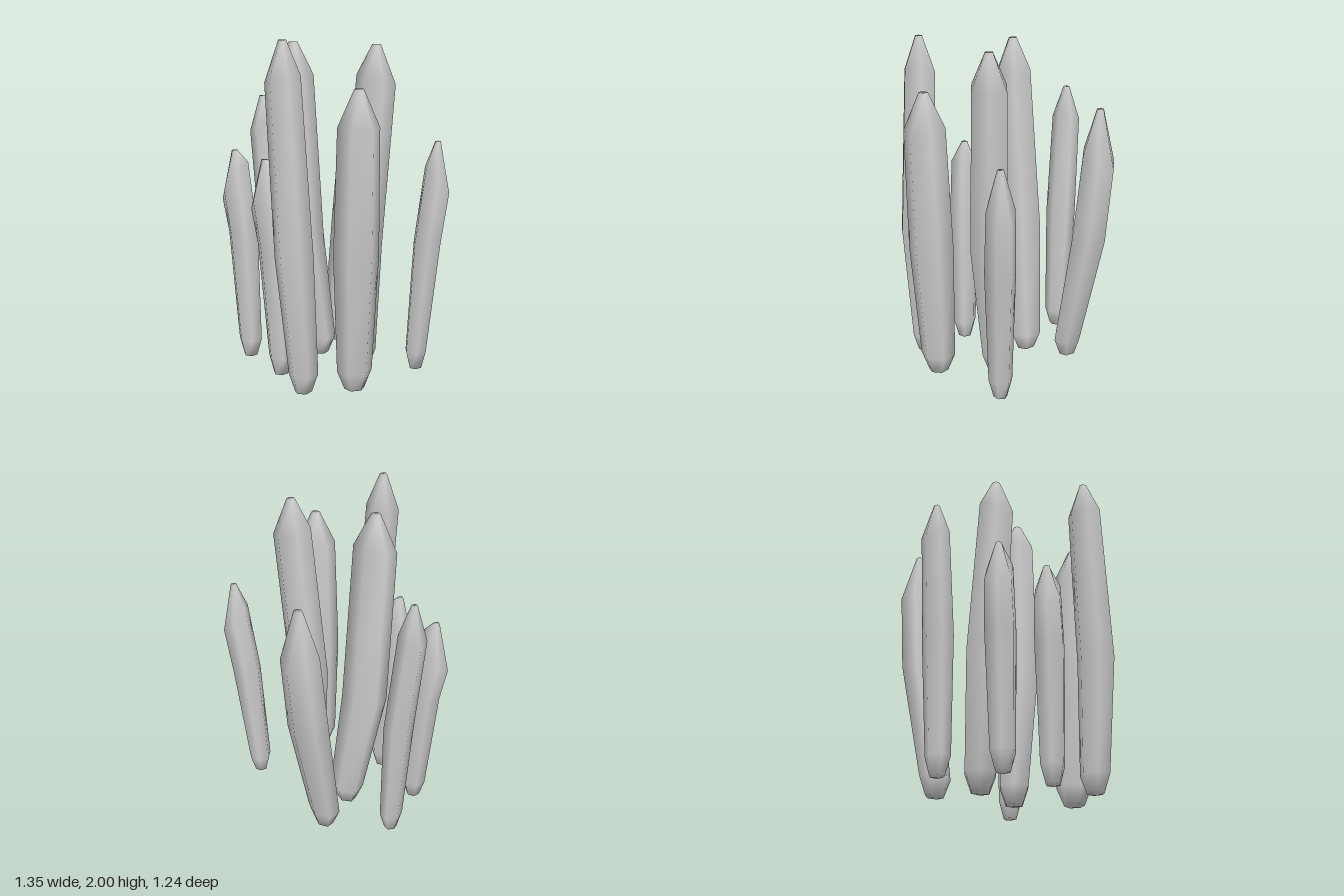
import * as THREE from 'three';

const SIDES = 6;
const LOW_Y = 0.11;
const MID_Y = 0.8;

// Hexagon scaled to span about -1..1 in both directions
function unitHexagon(turn) {
  const pts = Array.from({ length: SIDES }, (_, j) => {
    const a = turn + (j / SIDES) * Math.PI * 2;
    return [Math.cos(a), Math.sin(a)];
  });
  const mx = Math.max(...pts.map((p) => Math.abs(p[0])));
  const mz = Math.max(...pts.map((p) => Math.abs(p[1])));
  return pts.map(([x, z]) => [x / mx, z / mz]);
}

// One crystal: small foot, low ring, middle, sloping shoulder and blunt tip.
// low and mid are [x, z], shoulder is [x, y, z], size is the half width in x and z.
function crystal(name, low, mid, shoulder, tipY, size, turn) {
  const [sx, sy, sz] = shoulder;
  const rise = sy - MID_Y;
  // The shoulder slopes down towards the side the crystal leans to
  const tiltX = (-3 * (sx - mid[0])) / rise ** 2;
  const tiltZ = (-3 * (sz - mid[1])) / rise ** 2;
  const rings = [
    { x: low[0], y: 0, z: low[1], scale: 0.45 },
    { x: low[0], y: LOW_Y, z: low[1], scale: 0.78 },
    { x: mid[0], y: MID_Y, z: mid[1], scale: 1 },
    { x: sx, y: sy, z: sz, scale: 0.91, sloped: true },
    { x: sx, y: tipY, z: sz, scale: 0.2 },
  ];

  const pos = [];
  const index = [];
  const hexagon = unitHexagon(turn);
  for (const { x, y, z, scale, sloped } of rings) {
    for (const [ux, uz] of hexagon) {
      const dx = ux * size[0] * scale;
      const dz = uz * size[1] * scale;
      pos.push(x + dx, y + (sloped ? tiltX * dx + tiltZ * dz : 0), z + dz);
    }
  }

  // Side faces
  const top = (rings.length - 1) * SIDES;
  for (let i = 0; i < top; i += SIDES) {
    for (let j = 0; j < SIDES; j++) {
      const a = i + j;
      const b = i + ((j + 1) % SIDES);
      index.push(a, a + SIDES, b, b, a + SIDES, b + SIDES);
    }
  }
  // Foot and tip caps
  for (let j = 1; j < SIDES - 1; j++) {
    index.push(0, j, j + 1, top, top + j + 1, top + j);
  }

  const geometry = new THREE.BufferGeometry();
  geometry.setAttribute('position', new THREE.Float32BufferAttribute(pos, 3));
  geometry.setIndex(index);
  geometry.computeVertexNormals();
  const mesh = new THREE.Mesh(geometry, new THREE.MeshStandardMaterial({ color: 0xcccccc }));
  mesh.name = name;
  return mesh;
}

export function createModel() {
  const group = new THREE.Group();
  group.name = 'crystalCluster';

  // Tall crystals
  group.add(
    crystal('rightCentreCrystal', [-0.11, -0.08], [-0.18, 0], [-0.18, 1.77, 0.07], 1.98, [0.137, 0.122], 0.35),
    crystal('leftCentreCrystal', [0.24, -0.08], [0.27, -0.05], [0.33, 1.77, -0.1], 1.97, [0.113, 0.125], 0.45),
    crystal('frontLeftCrystal', [0.27, 0.45], [0.25, 0.5], [0.175, 1.79, 0.505], 2, [0.095, 0.118], 0.4),
    crystal('leftCrystal', [0.45, 0.21], [0.47, 0.225], [0.49, 1.53, 0.235], 1.74, [0.127, 0.125], 0.1),
  );

  // Medium crystals
  group.add(
    crystal('backCrystal', [-0.18, -0.35], [-0.19, -0.475], [-0.19, 1.31, -0.525], 1.61, [0.122, 0.108], 0.5),
    crystal('rightCrystal', [-0.505, -0.08], [-0.54, -0.08], [-0.605, 1.43, -0.07], 1.63, [0.082, 0.09], 0.15),
    crystal('backLeftCrystal', [0.515, -0.29], [0.56, -0.32], [0.6, 1.18, -0.35], 1.41, [0.082, 0.09], 0.8),
  );

  // Short crystals
  group.add(
    crystal('frontRightCrystal', [-0.39, 0.26], [-0.43, 0.27], [-0.475, 1.13, 0.29], 1.32, [0.088, 0.095], 0.6),
    crystal('frontCrystal', [-0.025, 0.345], [-0.06, 0.365], [-0.105, 1.13, 0.385], 1.31, [0.088, 0.095], 0.6),
  );
  return group;
}
